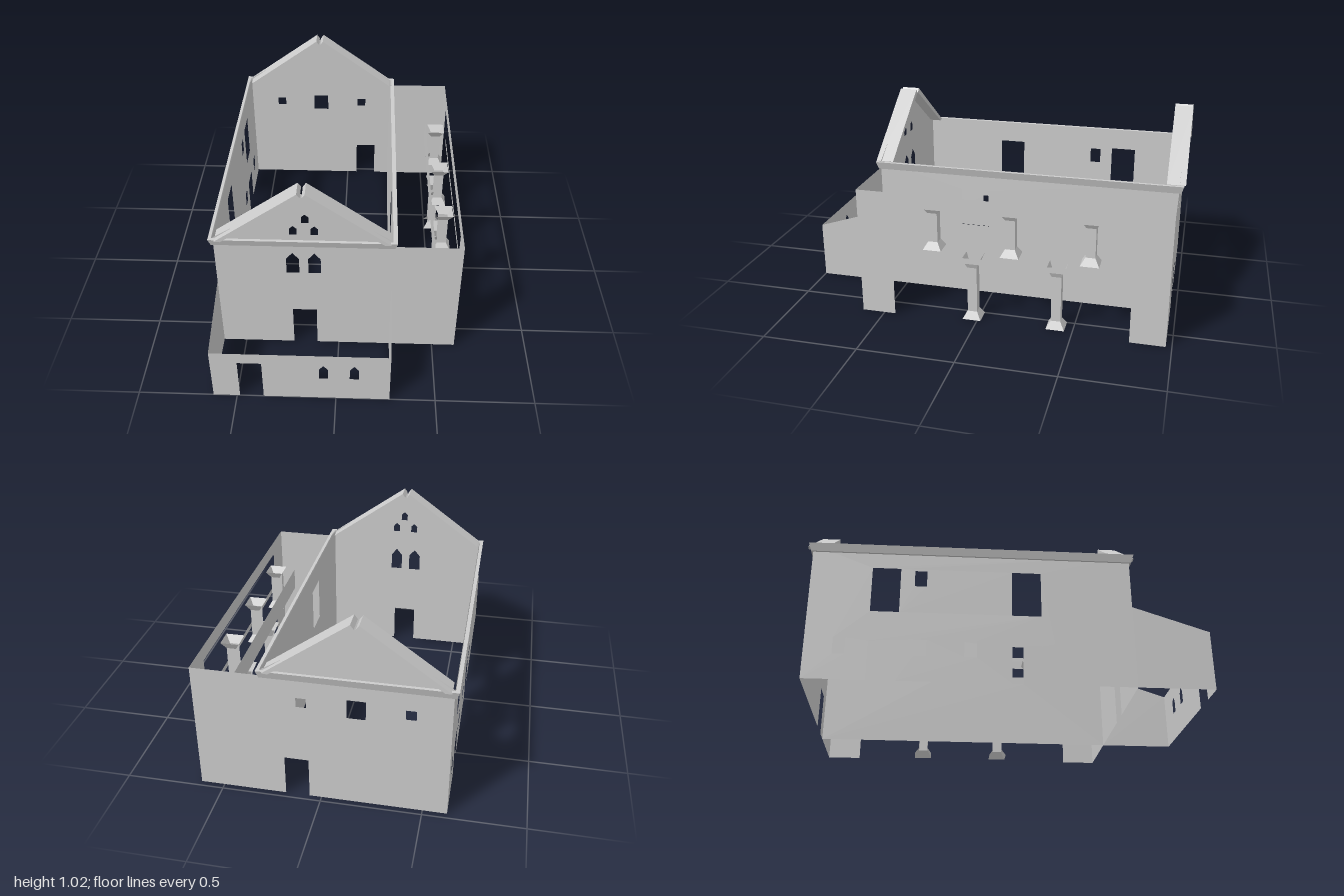
import * as THREE from 'three';

const mat = new THREE.MeshStandardMaterial({ color: 0xcccccc, side: THREE.DoubleSide, flatShading: true });
const L = -0.62, R = 0.27, OUT = 0.62, F = 0.62, B = -0.97; // hall and gallery plan
const MID = (L + R) / 2;

export function createModel() {
  const model = new THREE.Group();
  const add = (name, geo) => {
    const m = new THREE.Mesh(geo, mat);
    m.name = name;
    model.add(m);
    return m;
  };
  const pts = (a) => a.map(([x, y]) => new THREE.Vector2(x, y));
  const rect = (u, v, w, h) => [[u - w / 2, v], [u + w / 2, v], [u + w / 2, v + h], [u - w / 2, v + h]];
  const arch = (u, v, w, h) => [[u - w / 2, v], [u + w / 2, v], [u + w / 2, v + h * 0.7], [u, v + h], [u - w / 2, v + h * 0.7]];

  // Sheet wall from u0 to u1; doors [u0, u1, height] are notches in the foot
  const wall = (u0, u1, top, doors = [], holes = []) => {
    const p = [[u0, 0]];
    for (const [a, b, h] of doors) p.push([a, 0], [a, h], [b, h], [b, 0]);
    p.push([u1, 0], ...(Array.isArray(top) ? top : [[u1, top], [u0, top]]));
    const s = new THREE.Shape(pts(p));
    s.holes = holes.map((h) => new THREE.Path(pts(h)));
    return new THREE.ShapeGeometry(s);
  };
  const across = (name, z, geo) => { add(name, geo).position.z = z; };
  const along = (name, x, geo) => { add(name, geo.rotateY(-Math.PI / 2)).position.x = x; };

  // Front and back walls with the hall gables
  const gableTop = [[OUT, 0.685], [R, 0.685], [R, 0.72], [MID, 1.0], [L, 0.72]];
  across('frontWall', F, wall(L, OUT, gableTop, [[-0.24, -0.115, 0.24]], [
    arch(-0.23, 0.5, 0.065, 0.13), arch(-0.12, 0.5, 0.063, 0.13),
    arch(-0.222, 0.75, 0.036, 0.053), arch(-0.117, 0.75, 0.036, 0.053), arch(-0.162, 0.825, 0.036, 0.05),
  ]));
  across('backWall', B, wall(L, OUT, gableTop, [[0.06, 0.18, 0.22]], [
    rect(0.087, 0.53, 0.05, 0.05), rect(-0.175, 0.5, 0.09, 0.1), rect(-0.43, 0.53, 0.05, 0.05),
  ]));

  // Long walls
  along('leftHandWall', L, wall(B, F, 0.72, [[-0.67, -0.53, 0.2], [0.02, 0.165, 0.2]], [
    rect(-0.6, 0.36, 0.14, 0.24), rect(0.093, 0.36, 0.145, 0.24), rect(-0.43, 0.505, 0.06, 0.085),
    ...[-0.805, -0.42, -0.18, 0.26].map((z) => rect(z, 0.13, 0.06, 0.085)),
  ]));
  along('innerWall', R, wall(B, F, 0.72, [], [rect(0.093, 0.36, 0.15, 0.24)]));
  along('galleryWall', OUT, wall(B, F, 0.685, [[-0.79, 0.44, 0.61]]));

  // Front annex
  across('annexFront', 1, wall(L, R, 0.305, [[-0.485, -0.365, 0.24]],
    [arch(-0.06, 0.145, 0.045, 0.09), arch(0.092, 0.145, 0.045, 0.09)]));
  for (const x of [L, R]) along('annexSide', x, wall(F, 1, [[1, 0.305], [F, 0.43]]));

  // Lofted sheet: rows of equally many points
  const loft = (rows) => {
    const n = rows[0].length, idx = [];
    for (let i = 0; i + 1 < rows.length; i++)
      for (let j = 0; j + 1 < n; j++) {
        const a = i * n + j;
        idx.push(a, a + 1, a + n, a + 1, a + n + 1, a + n);
      }
    const g = new THREE.BufferGeometry();
    g.setAttribute('position', new THREE.Float32BufferAttribute(rows.flat(2), 3));
    g.setIndex(idx);
    g.computeVertexNormals();
    return g;
  };

  // Flared cornice around the hall
  add('cornice', loft([[0, 0.68], [0.01, 0.68], [0.022, 0.72], [0.006, 0.72]].map(([o, y]) => [
    [L - o, y, F + o], [R + o, y, F + o], [R + o, y, B - o], [L - o, y, B - o], [L - o, y, F + o],
  ])));

  // Sloping copings on both gables
  const slope = pts([[-0.435, 0.717], [-0.02, 1.017], [-0.004, 0.995], [-0.405, 0.715]]);
  for (const z of [0.555, -1.0])
    for (const s of [1, -1]) {
      const shape = new THREE.Shape(slope.map((p) => new THREE.Vector2(p.x * s, p.y)));
      const g = new THREE.ExtrudeGeometry(shape, { depth: 0.095, bevelEnabled: false });
      add('gableCoping', g).position.set(MID, 0, z);
    }

  // Gallery columns: flared at foot and head, open toward the hall
  const column = (name, z, y0, y1, neck) => add(name, loft(
    [[y0, 0.048], [y0 + 0.04, 0.025], [y1 - neck, 0.025], [y1, 0.048]].map(([y, r]) => [
      [0.545 - r, y, z + r], [0.545 + r, y, z + r], [0.545 + r, y, z - r], [0.545 - r, y, z - r],
    ])));
  for (const z of [0.03, -0.41]) column('lowerColumn', z, 0, 0.345, 0.055);
  for (const z of [0.235, -0.17, -0.575]) column('upperColumn', z, 0.375, 0.612, 0.04);

  // Gallery edge band and parapet
  const strip = (name, x, y0, y1) => {
    const g = new THREE.PlaneGeometry(1.29, y1 - y0).rotateY(Math.PI / 2);
    add(name, g).position.set(x, (y0 + y1) / 2, -0.175);
  };
  strip('galleryBand', 0.64, 0.345, 0.375);
  strip('galleryParapet', 0.5, 0.375, 0.5);

  return model;
}
